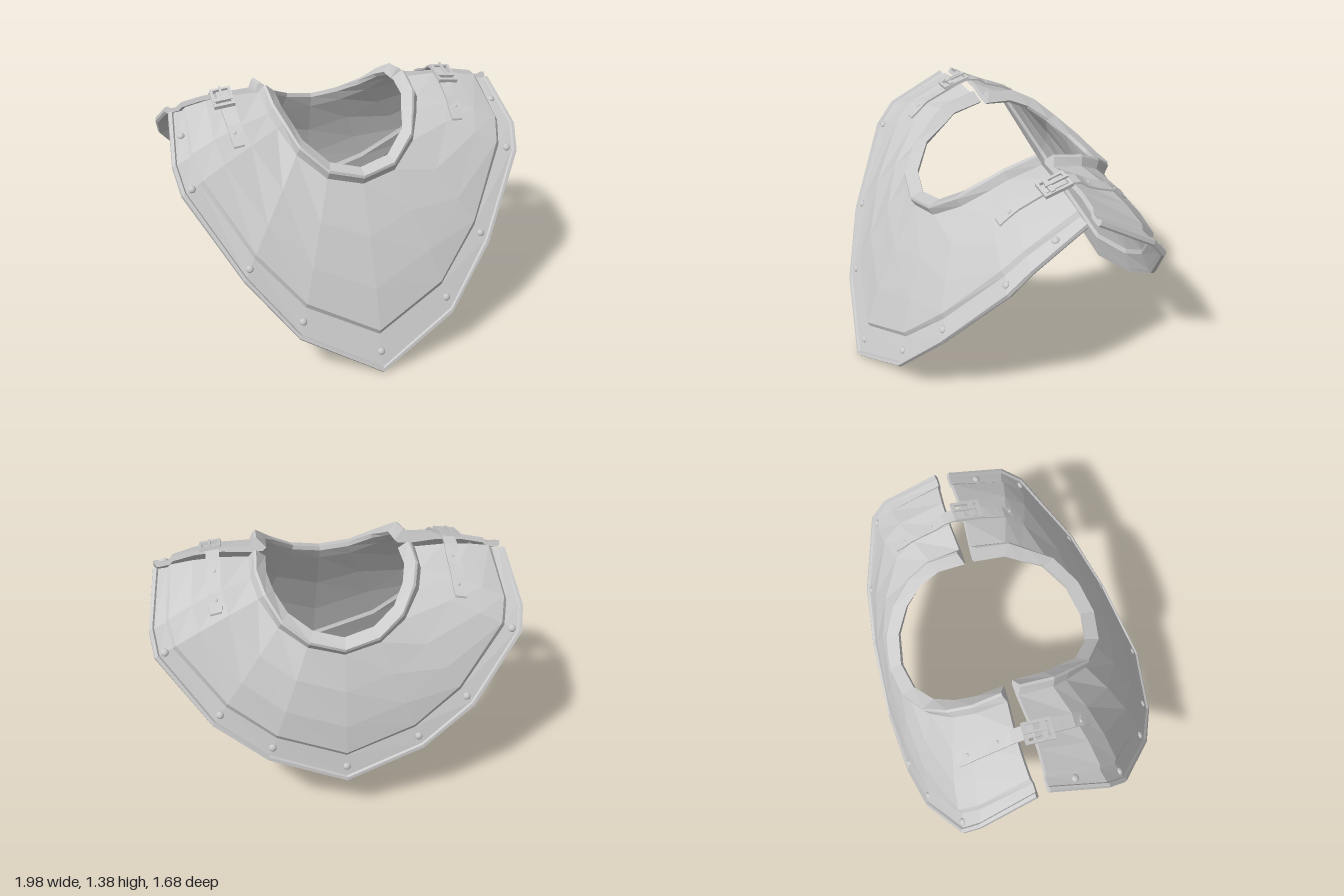
import * as THREE from 'three';

const V = (x, y, z) => new THREE.Vector3(x, y, z);
const metal = new THREE.MeshStandardMaterial({ color: 0xcccccc, flatShading: true, side: THREE.DoubleSide });
const smooth = new THREE.MeshStandardMaterial({ color: 0xcccccc });

// Half outlines from shoulder to centre: neck base, outer edge, border width
const FRONT = {
  neck: [[0.44, 1.34, -0.13], [0.43, 1.29, 0.06], [0.40, 1.235, 0.14], [0.33, 1.13, 0.28], [0.19, 1.02, 0.385], [0, 0.98, 0.42]],
  edge: [[0.95, 1.28, -0.12], [0.985, 1.11, 0.2], [0.96, 0.99, 0.31], [0.70, 0.57, 0.57], [0.44, 0.25, 0.72], [0, 0.015, 0.83]],
  border: [0.09, 0.12, 0.13, 0.15, 0.19, 0.23],
};
const BACK = {
  neck: [[0.45, 1.32, -0.19], [0.45, 1.28, -0.36], [0.42, 1.22, -0.47], [0.33, 1.11, -0.58], [0.19, 1.03, -0.66], [0, 0.99, -0.69]],
  edge: [[0.96, 1.28, -0.19], [0.99, 1.09, -0.5], [0.97, 0.98, -0.59], [0.70, 0.63, -0.74], [0.42, 0.42, -0.80], [0, 0.26, -0.83]],
  border: [0.09, 0.11, 0.12, 0.14, 0.15, 0.17],
};

// Joins equal closed rings into a solid; contours are the flat shapes of the two end caps
function loft(rings, firstContour, lastContour) {
  const n = rings[0].length, pos = [], idx = [];
  rings.forEach(r => r.forEach(p => pos.push(p.x, p.y, p.z)));
  for (let j = 0; j < rings.length - 1; j++)
    for (let k = 0; k < n; k++) {
      const a = j * n + k, c = j * n + (k + 1) % n;
      idx.push(a, a + n, c, c, a + n, c + n);
    }
  [[firstContour, 0], [lastContour, (rings.length - 1) * n]].forEach(([contour, base]) => {
    const pts = contour.map(p => new THREE.Vector2(p[0], p[1]));
    THREE.ShapeUtils.triangulateShape(pts, []).forEach(t => idx.push(...t.map(i => i + base)));
  });
  const g = new THREE.BufferGeometry();
  g.setAttribute('position', new THREE.Float32BufferAttribute(pos, 3));
  g.setIndex(idx);
  g.computeVertexNormals();
  return g;
}

// Radial section [distance from neck, height]: flared lip, raised body, recessed border, rolled rim
function section(L, w) {
  const s = L - w;
  return [
    [-0.09, -0.01], [-0.045, 0.05], [-0.03, 0.045], [0, 0.005], [s * 0.35, 0.03], [s * 0.7, 0.035],
    [s - 0.01, 0.022], [s + 0.012, 0], [L - 0.032, 0], [L - 0.025, 0.012], [L - 0.006, 0.01],
    [L, -0.01], [L - 0.008, -0.025], [L - 0.032, -0.025], [s + 0.012, -0.022],
    [s - 0.01, -0.006], [s * 0.7, 0.008], [s * 0.35, 0.004], [0, -0.022], [-0.07, -0.025],
  ];
}

// Mirrors a half outline and finds the local directions at each station
function stations(def, reverse) {
  const half = def.neck.map((p, i) => ({ P: V(...p), Q: V(...def.edge[i]), w: def.border[i], i }));
  const flip = v => V(-v.x, v.y, v.z);
  const list = half.concat(half.slice(0, -1).reverse().map(h => ({ ...h, P: flip(h.P), Q: flip(h.Q) })));
  if (reverse) list.reverse();
  const mid = list.map(h => h.P.clone().lerp(h.Q, 0.5));
  list.forEach((h, j) => {
    const t = mid[Math.min(j + 1, mid.length - 1)].clone().sub(mid[Math.max(j - 1, 0)]);
    h.d = h.Q.clone().sub(h.P);
    h.L = h.d.length();
    h.d.normalize();
    h.n = t.cross(h.d).normalize();
    h.at = (s, y) => h.P.clone().addScaledVector(h.d, s).addScaledVector(h.n, y);
  });
  return list;
}

function rivet(parent, p, n, r, name) {
  const m = new THREE.Mesh(new THREE.SphereGeometry(r, 10, 5, 0, Math.PI * 2, 0, Math.PI / 2), smooth);
  m.scale.y = 0.7;
  m.position.copy(p);
  m.quaternion.setFromUnitVectors(V(0, 1, 0), n);
  m.name = name;
  parent.add(m);
}

function makePlate(def, isBack) {
  const group = new THREE.Group(), list = stations(def, isBack);
  const contours = list.map(h => section(h.L, h.w));
  const rings = list.map((h, j) => contours[j].map(c => h.at(c[0], c[1])));
  const plate = new THREE.Mesh(loft(rings, contours[0], contours.at(-1)), metal);
  plate.name = isBack ? 'backPlate' : 'frontPlate';
  group.add(plate);
  // Rivets along the border
  list.forEach((h, j) => {
    if (h.i >= 2) rivet(group, h.at(h.L - h.w * 0.52, 0), h.n, 0.021, 'borderRivet');
    if (h.i === 0 && !isBack) {
      const o = list[j === 0 ? 1 : j - 1];
      const p = h.at(h.L - 0.06, 0).lerp(o.at(o.L - 0.07, 0), 0.5);
      rivet(group, p, h.n.clone().add(o.n).normalize(), 0.021, 'borderRivet');
    }
  });
  group.name = isBack ? 'back' : 'front';
  return { group, plate };
}

// Shoulder strap laid on the plates, with buckle and rivets
function makeStrap(side, plates) {
  const group = new THREE.Group();
  group.name = side > 0 ? 'leftStrap' : 'rightStrap';
  const ray = new THREE.Raycaster();
  const height = (x, z) => {
    if (z < -0.08 && z > -0.24) return 1.355 - 0.13 * (x - 0.64) - Math.abs(z + 0.15) * 0.2;
    ray.set(V(side * x, 3, z), V(0, -1, 0));
    const hit = ray.intersectObjects(plates, false)[0];
    return hit ? hit.point.y + 0.004 : 1.33;
  };
  const zs = [0.21, 0.16, 0.11, 0.06, 0, -0.07, -0.11, -0.15, -0.19, -0.23, -0.28, -0.33, -0.38, -0.43, -0.48, -0.515];
  const rings = zs.map((z, i) => {
    const w = i === 0 || i === zs.length - 1 ? 0.03 : 0.036, x = 0.64 - 0.06 * Math.max(0, z + 0.1);
    const [a, b] = [x - w, x + w].map(q => V(side * q, height(q, z), z));
    const up = V(0, 0.012, 0);
    return [a, b, b.clone().add(up), a.clone().add(up)];
  });
  const rect = [[0, 0], [1, 0], [1, 1], [0, 1]];
  const strap = new THREE.Mesh(loft(rings, rect, rect), metal);
  strap.name = 'strap';
  group.add(strap);
  [0.15, -0.24, -0.3, -0.46].forEach(z => {
    const p = V(side * 0.635, height(0.635, z) + 0.01, z);
    rivet(group, p, V(side * 0.25, 1, z > 0 ? 0.5 : -0.4).normalize(), 0.011, 'strapRivet');
  });

  // Buckle frame, keeper bar and prong
  const buckle = new THREE.Group();
  const bar = (w, h, d, x, y, z, name) => {
    const m = new THREE.Mesh(new THREE.BoxGeometry(w, h, d), metal);
    m.position.set(x, y, z);
    m.name = name;
    buckle.add(m);
  };
  [-1, 1].forEach(s => {
    bar(0.016, 0.02, 0.16, s * 0.05, 0, 0, 'buckleSide');
    bar(0.1, 0.02, 0.016, 0, 0, s * 0.072, 'buckleEnd');
  });
  bar(0.1, 0.016, 0.026, 0, 0.008, 0.03, 'keeperBar');
  bar(0.012, 0.012, 0.13, 0, 0.016, -0.015, 'prong');
  buckle.name = 'buckle';
  buckle.position.set(side * 0.65, 1.352, -0.09);
  buckle.rotation.set(0.25, 0, -side * 0.13);
  group.add(buckle);
  return group;
}

export function createModel() {
  const model = new THREE.Group();
  model.name = 'shoulderCollarArmour';
  const front = makePlate(FRONT, false), back = makePlate(BACK, true);
  model.add(front.group, back.group);
  [1, -1].forEach(s => model.add(makeStrap(s, [front.plate, back.plate])));
  return model;
}
